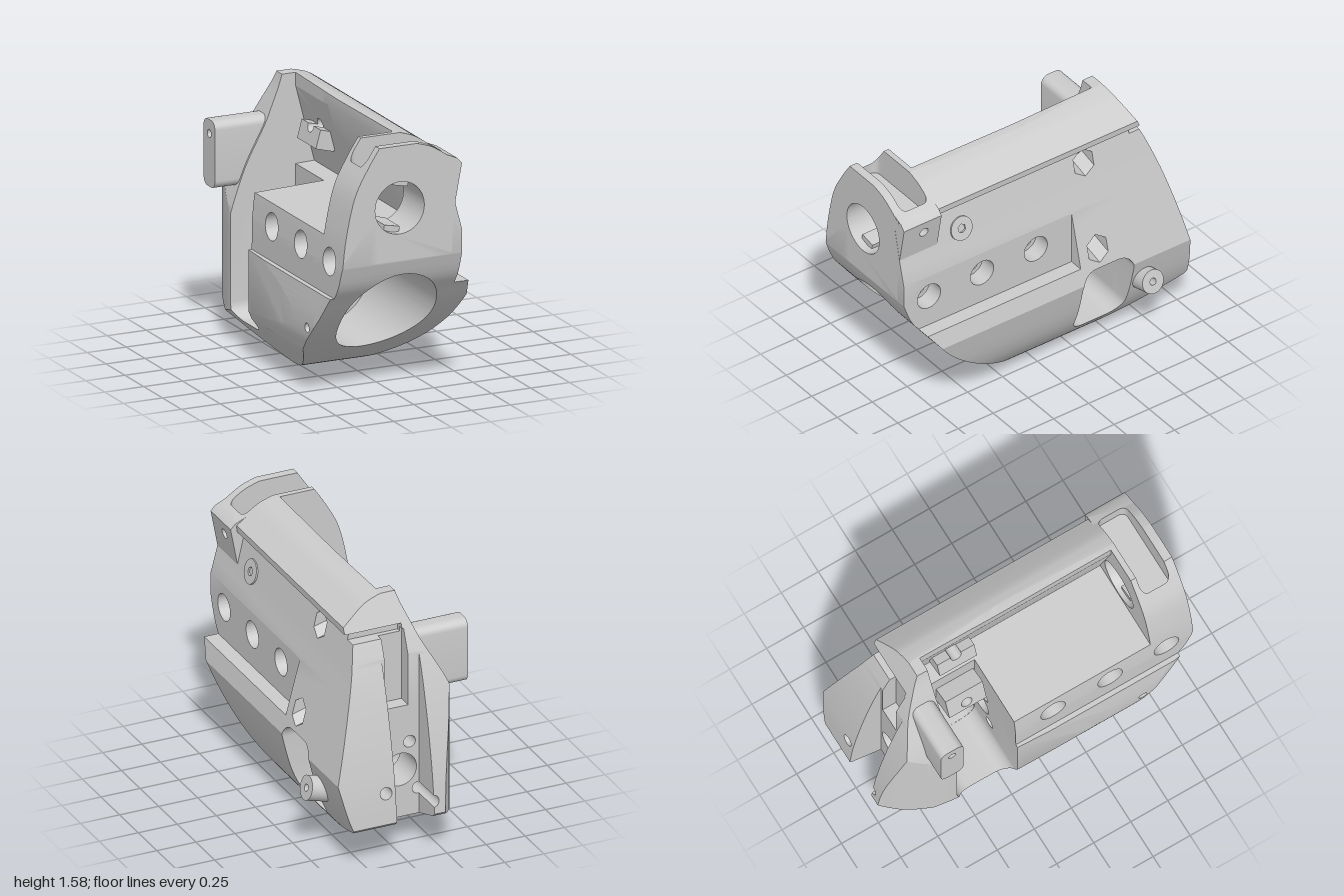
import * as THREE from 'three';

// ---- Small carving toolkit (polygons: {v: points, n: normal, w: offset}) ----
const EPS = 1e-5;

function split(plane, q, coF, coB, front, back) {
  const d = q.v.map((p) => plane.n.dot(p) - plane.w);
  const hasF = d.some((x) => x > EPS), hasB = d.some((x) => x < -EPS);
  if (!hasF && !hasB) return (plane.n.dot(q.n) > 0 ? coF : coB).push(q);
  if (!hasB) return front.push(q);
  if (!hasF) return back.push(q);
  const f = [], b = [];
  q.v.forEach((p, i) => {
    const j = (i + 1) % q.v.length;
    if (d[i] >= -EPS) f.push(p);
    if (d[i] <= EPS) b.push(p);
    if ((d[i] > EPS && d[j] < -EPS) || (d[i] < -EPS && d[j] > EPS)) {
      const m = p.clone().lerp(q.v[j], d[i] / (d[i] - d[j]));
      f.push(m);
      b.push(m);
    }
  });
  if (f.length > 2) front.push({ v: f, n: q.n, w: q.w });
  if (b.length > 2) back.push({ v: b, n: q.n, w: q.w });
}

function makeTree(polys) {
  const plane = polys[polys.length >> 1], f = [], b = [], flat = [];
  for (const q of polys) if (q !== plane) split(plane, q, flat, flat, f, b);
  return { plane, front: f.length ? makeTree(f) : null, back: b.length ? makeTree(b) : null };
}

// Sort the pieces of one polygon into outside and inside of a solid
function classify(tree, q, out, inn) {
  const f = [], b = [];
  split(tree.plane, q, f, b, f, b);
  for (const p of f) tree.front ? classify(tree.front, p, out, inn) : out.push(p);
  for (const p of b) tree.back ? classify(tree.back, p, out, inn) : inn.push(p);
}

function solid(geometry) {
  const p = (geometry.index ? geometry.toNonIndexed() : geometry).attributes.position;
  const polys = [];
  for (let i = 0; i < p.count; i += 3) {
    const v = [0, 1, 2].map((k) => new THREE.Vector3().fromBufferAttribute(p, i + k));
    const n = v[1].clone().sub(v[0]).cross(v[2].clone().sub(v[0]));
    if (n.length() < 1e-8) continue;
    n.normalize();
    polys.push({ v, n, w: n.dot(v[0]) });
  }
  return { polys, tree: makeTree(polys), box: new THREE.Box3().setFromBufferAttribute(p) };
}

const clip = (polys, s, inside) => polys.flatMap((q) => {
  if (!s.box.intersectsBox(new THREE.Box3().setFromPoints(q.v))) return inside ? [] : [q];
  const out = [], inn = [];
  classify(s.tree, q, out, inn);
  const [want, other] = inside ? [inn, out] : [out, inn];
  return other.length ? want : [q];
});

// What all the keep solids share, minus every cut solid
function carve(keeps, cuts) {
  const flip = (q) => ({ v: [...q.v].reverse(), n: q.n.clone().negate(), w: -q.w });
  return [...keeps, ...cuts].flatMap((s) => {
    let polys = s.polys;
    for (const k of keeps) if (k !== s) polys = clip(polys, k, true);
    for (const c of cuts) if (c !== s) polys = clip(polys, c, false);
    return cuts.includes(s) ? polys.map(flip) : polys;
  });
}

// Mesh with smooth normals across gentle angles only
function toMesh(polys, name) {
  const key = (p) => p.toArray().map((c) => Math.round(c * 2000)).join();
  const at = new Map();
  for (const q of polys) for (const p of q.v) {
    const k = key(p);
    if (!at.has(k)) at.set(k, []);
    const list = at.get(k);
    if (!list.some((n) => n.dot(q.n) > 0.99999)) list.push(q.n);
  }
  const pos = [], nor = [];
  for (const q of polys) {
    const ns = q.v.map((p) => at.get(key(p)).reduce(
      (s, n) => (n.dot(q.n) > 0.9 ? s.add(n) : s), new THREE.Vector3()).normalize());
    for (let i = 2; i < q.v.length; i++) for (const k of [0, i - 1, i]) {
      pos.push(...q.v[k].toArray());
      nor.push(...ns[k].toArray());
    }
  }
  const g = new THREE.BufferGeometry();
  g.setAttribute('position', new THREE.Float32BufferAttribute(pos, 3));
  g.setAttribute('normal', new THREE.Float32BufferAttribute(nor, 3));
  const mesh = new THREE.Mesh(g, new THREE.MeshStandardMaterial({ color: 0xcccccc }));
  mesh.name = name;
  return mesh;
}

// ---- Shape helpers ----
// Each run is a list of points: a run longer than two is a smooth curve, otherwise straight lines
function outline(start, ...runs) {
  const s = new THREE.Shape().moveTo(...start);
  for (const r of runs) {
    if (r.length > 2) s.splineThru(r.map((p) => new THREE.Vector2(...p)));
    else r.forEach((p) => s.lineTo(...p));
  }
  return s;
}
const extrude = (s, depth) => new THREE.ExtrudeGeometry(s, { depth, bevelEnabled: false, curveSegments: 4 });
const alongZ = (s, z0, z1) => solid(extrude(s, z1 - z0).translate(0, 0, z0));
const alongX = (s, x0, x1) => solid(extrude(s, x1 - x0).rotateY(-Math.PI / 2).translate(x1, 0, 0)); // shape is (z, y)
const alongY = (s, y0, y1) => solid(extrude(s, y1 - y0).rotateX(Math.PI / 2).translate(0, y1, 0)); // shape is (x, z)
const box = (x0, x1, y0, y1, z0, z1) => solid(new THREE.BoxGeometry(x1 - x0, y1 - y0, z1 - z0)
  .translate((x0 + x1) / 2, (y0 + y1) / 2, (z0 + z1) / 2));
const tiltedBox = (w, h, d, x, y, z, tilt) => solid(new THREE.BoxGeometry(w, h, d).rotateZ(tilt).translate(x, y, z));
const rodZ = (x, y, r, z0, z1, n = 32) => solid(new THREE.CylinderGeometry(r, r, z1 - z0, n)
  .rotateX(Math.PI / 2).translate(x, y, (z0 + z1) / 2));
// Rod leaning by tilt from the x axis, centred on a point
const rodX = (x, y, z, r, len, tilt = 0, n = 28) => solid(
  new THREE.CylinderGeometry(r, r, len, n, 1, false, Math.PI / 6).rotateZ(-Math.PI / 2 + tilt).translate(x, y, z));
function roundRect(u0, u1, v0, v1, r) {
  const s = new THREE.Shape(), q = Math.PI / 2;
  s.absarc(u1 - r, v1 - r, r, 0, q).absarc(u0 + r, v1 - r, r, q, 2 * q);
  return s.absarc(u0 + r, v0 + r, r, 2 * q, 3 * q).absarc(u1 - r, v0 + r, r, 3 * q, 4 * q);
}

export function createModel() {
  const group = new THREE.Group();
  const add = (name, keeps, cuts) => group.add(toMesh(carve(keeps, cuts), name));

  // Housing: front, side and plan outlines intersected
  const frontShape = outline([-0.26, 0], [[0.08, 0]],
    [[0.2, 0.06], [0.3, 0.18], [0.37, 0.33], [0.43, 0.56]], [[0.27, 1.17], [0.222, 1.38]],
    [[0.27, 1.4], [0.272, 1.44]], [[0.14, 1.53], [0.07, 1.56], [0, 1.58]], [[0, 1.6], [-0.21, 1.6]],
    [[-0.22, 1.575], [-0.3, 1.45], [-0.38, 1.29], [-0.435, 1.05], [-0.458, 0.85]],
    [[-0.46, 0.67], [-0.49, 0.67]], [[-0.507, 0.5], [-0.5, 0.36], [-0.46, 0.25]]);
  const sideShape = outline([1, 1.575], [[1, 0.88]],
    [[0.95, 0.75], [0.88, 0.65], [0.7, 0.43], [0.45, 0.23], [0.2, 0.08], [0.05, 0.012], [-0.07, 0]],
    [[-0.3, 0.04], [-0.6, 0.12], [-0.98, 0.25]], [[-1, 0.27]],
    [[-0.97, 0.52], [-0.9, 0.86], [-0.8, 1.2], [-0.64, 1.578]], [[0, 1.565]]);
  const planShape = outline([0.6, 1.1], [[0.6, -1.1], [-0.2, -1.1]],
    [[-0.24, -1], [-0.31, -0.9], [-0.355, -0.8], [-0.4, -0.65], [-0.42, -0.55], [-0.48, -0.2]],
    [[-0.51, 0.5], [-0.51, 0.7]], [[-0.48, 0.92], [-0.46, 0.98], [-0.44, 1.1]]);
  const hull = [alongZ(frontShape, -1.2, 1.2), alongX(sideShape, -0.8, 0.8), alongY(planShape, -0.2, 1.8)];

  // Open bay with a wall leaning parallel to the outer side; rounded shoulder behind it
  const bayShape = outline([-0.8, 1], [[-0.45, 1.01], [0.12, 1.03]], [[0, 1.5], [0, 2]], [[-0.8, 2]]);
  const shoulder = outline([-0.9, 1.65], [[-0.9, 0.6], [-0.46, 0.6]],
    [[-0.41, 0.8], [-0.32, 1.05], [-0.2, 1.28], [-0.15, 1.4], [-0.1, 1.53], [-0.07, 1.65]]);
  const topSlot = [
    alongY(roundRect(-0.3, 0.22, 0.755, 0.945, 0.04), 1.38, 1.8),
    box(-0.8, 0.8, 1.49, 1.83, 0.76, 0.94),
  ];
  const cheekHole = rodX(0.25, 1.34, 0.845, 0.03, 0.3, 0, 16);
  const cuts = [
    ...topSlot, cheekHole,
    box(0.31, 0.8, 0.67, 1.12, -0.2, 1.2), // side ledge
    alongZ(bayShape, -0.569, 0.72),
    alongZ(shoulder, -1.3, -0.56),
    alongX(roundRect(-0.57, -0.2, 0.15, 2.2, 0.1), -0.82, 0.001), // tall notch
    alongX(roundRect(-0.565, -0.202, 0.152, 0.63, 0.1), -0.1, 0.82), // side window
    box(-0.17, 0.07, -0.2, 1.8, -1.3, -0.79), // rear slot
    box(-0.1, 0.05, 0.9, 1.37, -1.2, -0.7), // slot runs deeper under the roof
    box(-0.09, 0.8, 1.34, 1.4, -0.9, -0.67), // rear lip gap
    rodZ(-0.09, 1.2, 0.158, 0.6, 1.2, 40), // front port
    rodZ(-0.05, 0.49, 0.295, -0.1, 1.2, 64), // big front bore
    rodZ(-0.05, 0.49, 0.135, -0.13, 0.1, 40),
    rodZ(-0.05, 0.49, 0.105, -1.2, 0.2, 40),
    rodX(-0.45, 0.43, 0.63, 0.028, 0.3, 0, 16), // small left screw hole
  ];
  for (const [x, y] of [[-0.11, 0.66], [0.13, 0.46], [-0.165, 0.35]]) cuts.push(rodZ(x, y, 0.038, -1.2, 0.05, 20));
  // Counterbored cross holes
  for (const z of [0.82, 0.44, 0.055]) {
    cuts.push(rodX(0, 0.875, z, 0.055, 1.4), rodX(0.5, 0.875, z, 0.083, 0.6), rodX(-0.5, 0.875, z, 0.083, 0.6));
  }
  // Hexagonal nut pockets sloping up into the wall, with bolt holes
  const lean = 0.265;
  const boltHoles = [1.32, 0.815].map((y) => rodX(0, y, -0.335, 0.036, 0.7, 0, 20));
  const pockets = [[0.25, 1.285, 0.22], [0.39, 0.745, 0.44]].map(
    ([x, y, len]) => rodX(x, y, -0.335, 0.078, len, -lean, 6));
  add('housing', hull, [...cuts, ...boltHoles, ...pockets]);

  // Bosses behind the nut pockets, inside the notch
  add('lowerBoss', [tiltedBox(0.16, 0.17, 0.25, -0.05, 0.82, -0.335, -lean)], boltHoles);
  add('upperBoss', [tiltedBox(0.12, 0.115, 0.25, 0.03, 1.257, -0.335, -lean)], boltHoles);

  // Front cheek flaring out on the left side
  const cheek = outline([0.1, 1.18], [[0.265, 1.18], [0.31, 1.42]], [[0.28, 1.452], [0.1, 1.53]]);
  add('frontCheek', [alongZ(cheek, 0.73, 0.999)], [...topSlot, cheekHole]);

  // Side tongue at the rear
  add('sideTongue', [alongX(roundRect(-0.735, -0.583, 0.93, 1.335, 0.05), -0.51, -0.15)],
    [rodX(-0.5, 1.25, -0.66, 0.025, 0.2, 0, 16)]);

  // Slanted strap peg with a centre hole
  add('strapPeg', [rodX(0.4, 0.405, -0.655, 0.075, 0.18, lean)],
    [rodX(0.485, 0.428, -0.655, 0.022, 0.16, lean, 16)]);

  // Round screw head with hexagonal socket
  add('screwHead', [rodX(0.24, 1.215, 0.555, 0.075, 0.06, lean)],
    [rodX(0.27, 1.223, 0.555, 0.028, 0.07, lean, 6)]);

  // Locking tabs in the front port
  for (const [x, y, name] of [[-0.06, 1.342, 'upperTab'], [-0.12, 1.058, 'lowerTab']]) {
    add(name, [tiltedBox(0.1, 0.05, 0.2, x, y, 0.85, -0.2)], []);
  }
  return group;
}
